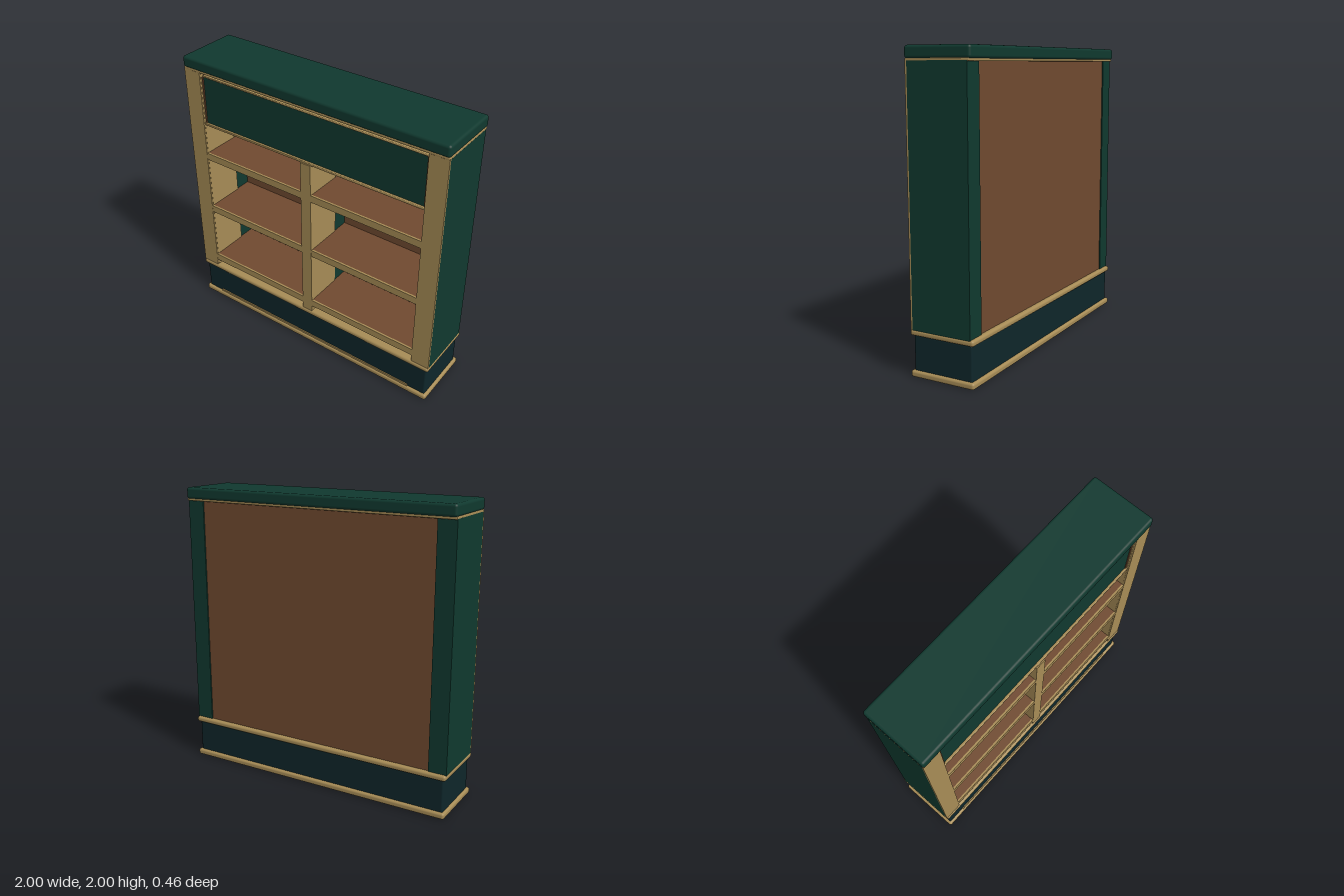
import * as THREE from 'three';
import { RoundedBoxGeometry } from 'three/addons/geometries/RoundedBoxGeometry.js';

const material = (name, color) => {
  const m = new THREE.MeshStandardMaterial({ color });
  m.name = name;
  return m;
};

export function createModel() {
  const group = new THREE.Group();
  group.name = 'bookcase';
  const green = material('dark green paint', 0x10392f);
  const navy = material('dark teal paint', 0x0e262a);
  const tan = material('light wood', 0xa78c56);
  const brown = material('brown wood', 0x704a30);

  // Box given by its limits on each axis; a radius rounds its edges
  const box = (name, mat, [x0, x1], [y0, y1], [z0, z1], radius = 0) => {
    const size = [x1 - x0, y1 - y0, z1 - z0];
    const geo = radius ? new RoundedBoxGeometry(...size, 3, radius) : new THREE.BoxGeometry(...size);
    const mesh = new THREE.Mesh(geo, mat);
    mesh.position.set((x0 + x1) / 2, (y0 + y1) / 2, (z0 + z1) / 2);
    mesh.name = name;
    group.add(mesh);
  };
  // Limits mirrored to the given side
  const side = (s, a, b) => (s > 0 ? [a, b] : [-b, -a]);

  // Plinth between two rounded mouldings
  box('bottomMoulding', tan, [-1, 1], [0, 0.043], [-0.228, 0.228], 0.016);
  box('plinth', navy, [-0.982, 0.982], [0.03, 0.267], [-0.208, 0.21], 0.012);
  box('plinthStrip', tan, [-0.85, 0.85], [0.035, 0.057], [0.2, 0.218]);
  box('upperMoulding', tan, [-1, 1], [0.265, 0.304], [-0.228, 0.228], 0.016);

  // Top cap with a thin trim below
  box('topTrim', tan, [-0.998, 0.998], [1.908, 1.926], [-0.218, 0.222], 0.006);
  box('topCap', green, [-1, 1], [1.922, 2], [-0.228, 0.228], 0.018);

  // Back panel, set in between the corner posts
  box('backPanel', brown, [-0.88, 0.88], [0.3, 1.912], [-0.198, -0.18]);

  // Side posts with wooden lining and front stiles
  for (const s of [1, -1]) {
    box('sidePost', green, side(s, 0.872, 0.998), [0.3, 1.912], [-0.206, 0.208]);
    box('sideLining', tan, side(s, 0.864, 0.874), [0.3, 1.912], [-0.06, 0.21]);
    box('frontStile', tan, side(s, 0.866, 0.998), [0.3, 1.915], [0.208, 0.22]);
  }

  // Centre divider, painted at the rear
  box('centreDivider', tan, [-0.04, 0.04], [0.3, 1.522], [-0.06, 0.22]);
  box('dividerBack', green, [-0.035, 0.035], [0.3, 1.522], [-0.185, -0.06]);

  // Shelves with lighter front edges, in two bays
  for (const s of [1, -1]) {
    for (const y of [0.35, 0.8, 1.247]) {
      box('shelf', brown, side(s, 0.036, 0.87), [y, y + 0.051], [-0.185, 0.205]);
      box('shelfEdge', tan, side(s, 0.04, 0.866), [y, y + 0.052], [0.205, 0.219]);
    }
  }

  // Header with a framed green panel
  box('header', brown, [-0.868, 0.868], [1.52, 1.91], [-0.185, 0.182]);
  box('headerPanel', green, [-0.853, 0.853], [1.535, 1.873], [0.178, 0.196]);
  box('headerTopTrim', tan, [-0.858, 0.858], [1.875, 1.888], [0.178, 0.204], 0.005);
  box('headerBottomTrim', tan, [-0.866, 0.866], [1.518, 1.535], [0.178, 0.212], 0.005);
  for (const s of [1, -1]) {
    box('headerSideTrim', brown, side(s, 0.853, 0.866), [1.535, 1.875], [0.178, 0.202]);
  }

  return group;
}
